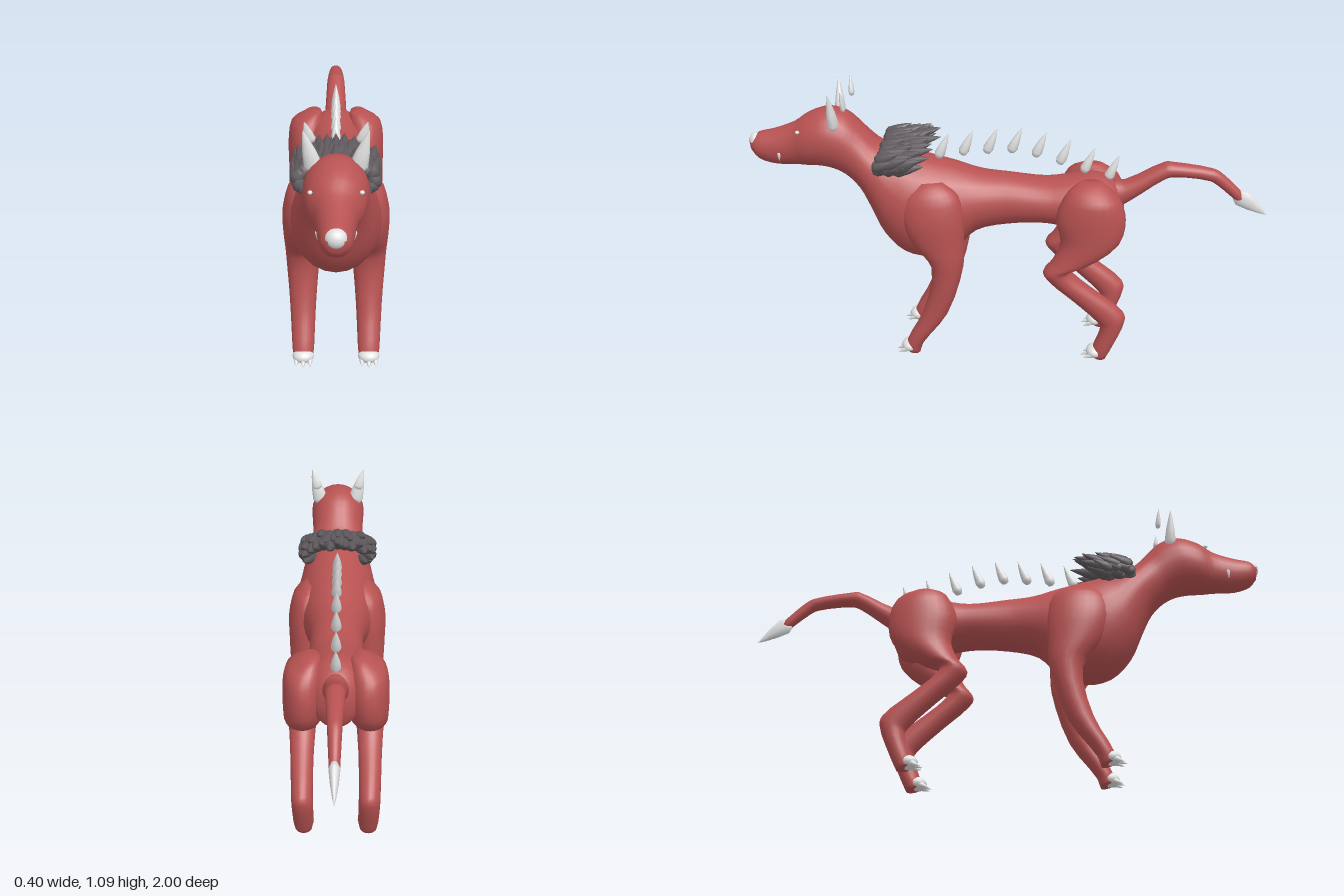
import * as THREE from 'three';

const flat = (name, color) => Object.assign(new THREE.MeshStandardMaterial({ color }), { name });
const V = (x, y, z) => new THREE.Vector3(x, y, z);

// Smooth skin through oval rings; each row is [z0, y0, z1, y1, halfWidth, centreX]
// where (z0, y0) and (z1, y1) are opposite ends of the oval in the side plane.
function loft(rows, side = 1, steps = 3, segs = 24) {
  const ends = [0, 2].map(k => new THREE.CatmullRomCurve3(rows.map(r => V(0, r[k + 1], r[k])), false, 'centripetal'));
  const wide = new THREE.CatmullRomCurve3(rows.map((r, i) => V(r[4], (r[5] || 0) * side, i)), false, 'catmullrom', 0.4);
  const n = (rows.length - 1) * steps, pos = [], index = [];
  for (let i = 0; i <= n; i++) {
    const a = ends[0].getPoint(i / n), b = ends[1].getPoint(i / n), w = wide.getPoint(i / n);
    const mid = a.clone().add(b).multiplyScalar(0.5), up = a.clone().sub(mid);
    for (let j = 0; j < segs; j++) {
      const t = j / segs * Math.PI * 2, c = Math.cos(t);
      pos.push(w.y + Math.sin(t) * w.x, mid.y + up.y * c, mid.z + up.z * c);
      if (i < n) {
        const k = (j + 1) % segs, p = i * segs, q = p + segs;
        index.push(p + j, q + j, p + k, q + j, q + k, p + k);
      }
    }
  }
  // rounded-off end caps
  for (const [p, first] of [[0, true], [n * segs, false]]) {
    const h = p + segs / 2, c = pos.length / 3;
    for (let k = 0; k < 3; k++) pos.push((pos[p * 3 + k] + pos[h * 3 + k]) / 2);
    for (let j = 0; j < segs; j++) {
      const a = p + j, b = p + (j + 1) % segs;
      if (first) index.push(c, a, b); else index.push(c, b, a);
    }
  }
  const g = new THREE.BufferGeometry();
  g.setAttribute('position', new THREE.Float32BufferAttribute(pos, 3));
  g.setIndex(index);
  g.computeVertexNormals();
  return g;
}

// Unit teardrop pointing up y, used for spikes, claws and hair
const teardrop = new THREE.LatheGeometry(
  [[0, 0], [0.7, 0.06], [1, 0.2], [0.75, 0.5], [0.35, 0.8], [0, 1]].map(p => new THREE.Vector2(...p)), 10);

export function createModel() {
  const model = new THREE.Group();
  const red = flat('redHide', 0xb85252);
  const bone = flat('paleBone', 0xe2e2e2);
  const hair = flat('darkHair', 0x605a5e);

  const add = (name, geometry, material, parent = model) => {
    const m = new THREE.Mesh(geometry, material);
    m.name = name;
    parent.add(m);
    return m;
  };
  const spike = (name, mat, base, tip, rx, rz = rx, parent = model) => {
    const d = tip.clone().sub(base), m = add(name, teardrop, mat, parent);
    m.position.copy(base);
    m.scale.set(rx, d.length(), rz);
    m.quaternion.setFromUnitVectors(V(0, 1, 0), d.normalize());
    return m;
  };
  const ball = (name, mat, x, y, z, sx, sy, sz) => {
    const m = add(name, new THREE.SphereGeometry(1, 16, 12), mat);
    m.position.set(x, y, z);
    m.scale.set(sx, sy, sz);
    return m;
  };

  // torso, neck and head in one skin
  add('body', loft([
    [-0.45, 0.66, -0.45, 0.57, 0.03], [-0.42, 0.72, -0.42, 0.51, 0.08],
    [-0.35, 0.755, -0.36, 0.5, 0.115], [-0.25, 0.745, -0.25, 0.53, 0.115],
    [-0.15, 0.73, -0.15, 0.55, 0.105], [0, 0.745, 0, 0.54, 0.103],
    [0.1, 0.755, 0.12, 0.51, 0.12], [0.2, 0.785, 0.2, 0.43, 0.145],
    [0.3, 0.81, 0.3, 0.39, 0.165], [0.36, 0.825, 0.4, 0.41, 0.165],
    [0.41, 0.84, 0.48, 0.49, 0.15], [0.45, 0.85, 0.53, 0.6, 0.135],
    [0.5, 0.875, 0.57, 0.68, 0.118], [0.55, 0.925, 0.62, 0.73, 0.104],
    [0.61, 0.982, 0.67, 0.755, 0.107], [0.68, 1.0, 0.72, 0.765, 0.11],
    [0.76, 0.975, 0.77, 0.765, 0.098], [0.82, 0.935, 0.82, 0.765, 0.072],
    [0.9, 0.905, 0.9, 0.765, 0.06], [0.96, 0.89, 0.96, 0.785, 0.05],
    [0.99, 0.87, 0.985, 0.815, 0.03],
  ]), red);
  ball('nose', bone, 0, 0.857, 0.968, 0.036, 0.033, 0.03);

  // tail with a pointed blade
  add('tail', loft([
    [-0.40, 0.6, -0.40, 0.73, 0.05], [-0.47, 0.645, -0.45, 0.73, 0.045], [-0.6, 0.74, -0.6, 0.808, 0.037],
    [-0.63, 0.75, -0.63, 0.807, 0.035], [-0.77, 0.737, -0.785, 0.785, 0.026],
    [-0.8, 0.72, -0.82, 0.765, 0.024], [-0.89, 0.645, -0.91, 0.68, 0.018],
  ]), red);
  spike('tailTip', bone, V(0, 0.685, -0.872), V(0, 0.598, -1), 0.02, 0.036);

  // back spikes
  const baseY = [0.8, 0.815, 0.825, 0.83, 0.815, 0.787, 0.755, 0.728];
  baseY.forEach((y, i) => {
    const z = 0.27 - i * 0.093;
    spike('backSpike', bone, V(0, y, z), V(0, y + 0.105, z - 0.045), 0.02);
  });

  // shaggy mane collar: three overlapping rows of swept-back tufts
  const mane = new THREE.Group();
  mane.name = 'mane';
  model.add(mane);
  for (let row = 0; row < 3; row++) {
    const count = 18 + row;
    for (let i = 0; i <= count; i++) {
      const a = (i / count * 2 - 1) * 2.2, s = Math.sin(a), c = Math.cos(a);
      const wob = Math.sin(i * 2.4 + row * 1.7) * 0.022;
      const z = 0.475 + 0.02 * (1 - c) - row * 0.04;
      spike('maneTuft', hair, V(0.128 * s, 0.815 + 0.052 * c, z),
        V((0.15 + wob * 0.4) * s, 0.85 + 0.06 * c + wob * 0.3, z - 0.125 + wob + 0.02 * (1 - c)), 0.027, 0.027, mane);
    }
  }

  const frontLeg = [
    [0.33, 0.745, 0.24, 0.745, 0.025, 0.105], [0.39, 0.69, 0.18, 0.7, 0.058, 0.12],
    [0.4, 0.6, 0.16, 0.6, 0.068, 0.13], [0.36, 0.5, 0.16, 0.5, 0.066, 0.13],
    [0.29, 0.4, 0.165, 0.4, 0.064, 0.126], [0.325, 0.2, 0.23, 0.19, 0.049, 0.126],
    [0.395, 0.06, 0.33, 0.05, 0.041, 0.125], [0.4, 0.02, 0.345, 0.006, 0.033, 0.125],
  ];
  const hindLeg = [
    [-0.28, 0.758, -0.37, 0.755, 0.03, 0.09], [-0.23, 0.72, -0.43, 0.7, 0.068, 0.115],
    [-0.19, 0.62, -0.455, 0.62, 0.078, 0.118], [-0.21, 0.52, -0.435, 0.52, 0.073, 0.122],
    [-0.18, 0.44, -0.32, 0.43, 0.064, 0.128], [-0.145, 0.39, -0.25, 0.405, 0.056, 0.13],
    [-0.17, 0.35, -0.275, 0.37, 0.05, 0.13], [-0.26, 0.27, -0.35, 0.31, 0.044, 0.13],
    [-0.36, 0.175, -0.46, 0.22, 0.041, 0.128], [-0.375, 0.15, -0.47, 0.185, 0.041, 0.127],
    [-0.345, 0.05, -0.425, 0.06, 0.039, 0.125], [-0.34, 0.02, -0.4, 0.006, 0.033, 0.125],
  ];

  for (const s of [1, -1]) {
    const side = s > 0 ? 'left' : 'right';
    add(side + 'FrontLeg', loft(frontLeg, s), red);
    add(side + 'HindLeg', loft(hindLeg, s), red);

    // paws with three claws each
    for (const z of [0.385, -0.355]) {
      ball(side + 'Paw', bone, s * 0.125, 0.036, z, 0.041, 0.026, 0.034);
      for (const k of [-1, 0, 1]) {
        spike(side + 'Claw', bone, V(s * 0.125 + k * 0.024, 0.038, z - 0.01),
          V(s * 0.125 + k * 0.027, 0.014, z + 0.055 - Math.abs(k) * 0.01), 0.014);
      }
    }

    // horn stump with a loose leaf-shaped tip behind it
    spike(side + 'Horn', bone, V(s * 0.068, 0.93, 0.65), V(s * 0.108, 1.085, 0.658), 0.031, 0.022);
    spike(side + 'HornTip', bone, V(s * 0.082, 1.015, 0.605), V(s * 0.104, 1.095, 0.612), 0.021, 0.011);

    // eyes and fangs
    ball(side + 'Eye', bone, s * 0.083, 0.925, 0.787, 0.008, 0.007, 0.008);
    spike(side + 'Fang', bone, V(s * 0.061, 0.832, 0.87), V(s * 0.056, 0.795, 0.873), 0.007);
  }
  return model;
}
